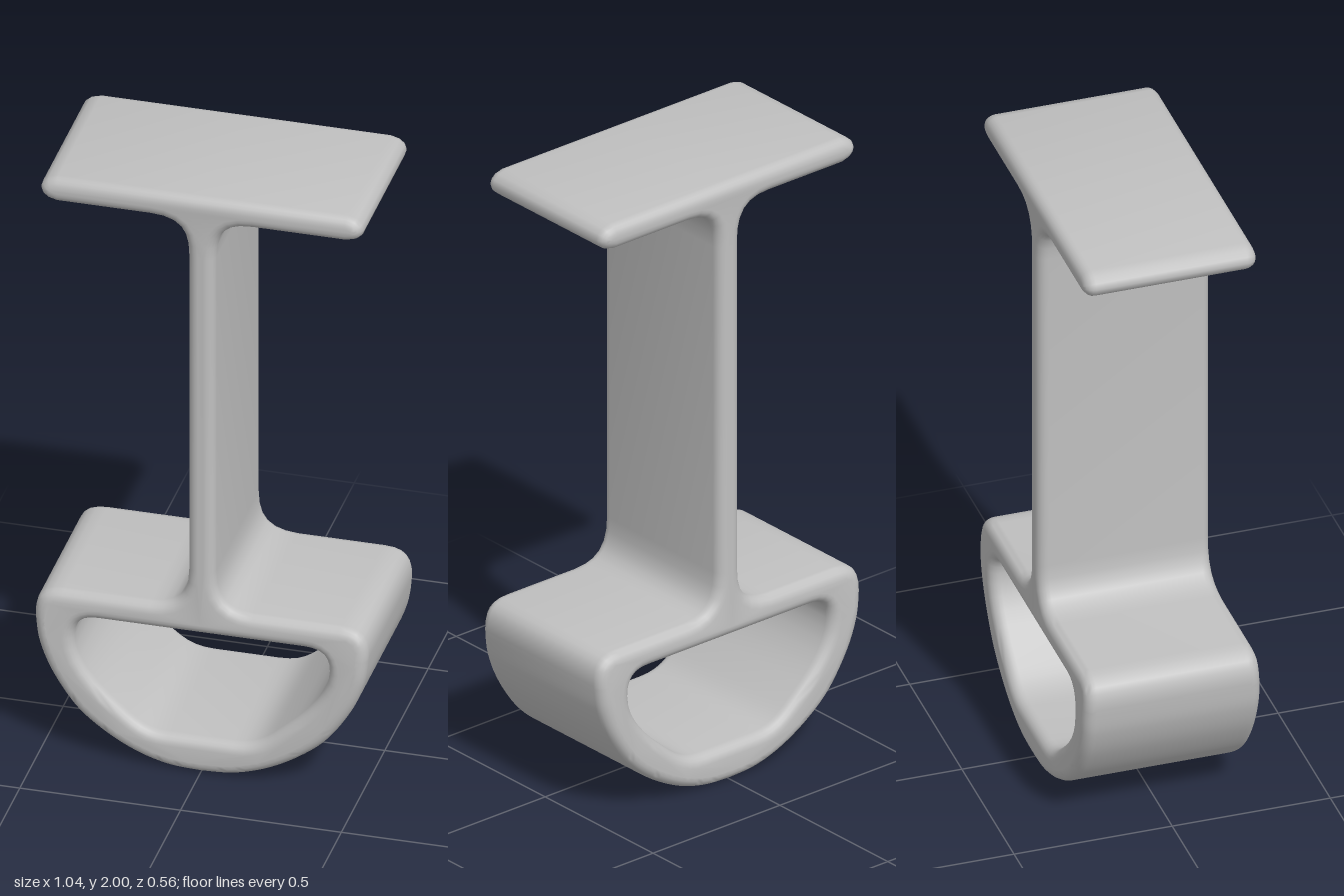
import * as THREE from 'three';
import { mergeVertices, toCreasedNormals } from 'three/addons/utils/BufferGeometryUtils.js';

const v = (x, y) => new THREE.Vector2(x, y);

// Closes a right-hand half outline (bottom centre to top centre) by mirroring it
function mirrored(path) {
  const half = path.getPoints(6);
  const left = half.slice(1, -1).reverse().map((p) => v(-p.x, p.y));
  return [...half, ...left];
}

export function createModel() {
  const group = new THREE.Group();
  const grey = new THREE.MeshStandardMaterial({ color: 0xc0c0c0 });
  grey.name = 'grey';

  // Outer outline: rounded bowl, flat shelf, stem and top plate
  const outer = new THREE.Path();
  outer.moveTo(0, 0.003);
  outer.splineThru([v(0.1, 0.01), v(0.2, 0.04), v(0.3, 0.095), v(0.39, 0.17),
    v(0.465, 0.28), v(0.505, 0.38), v(0.518, 0.47)]);
  outer.bezierCurveTo(0.52, 0.535, 0.5, 0.567, 0.43, 0.567);
  outer.lineTo(0.16, 0.567);
  outer.bezierCurveTo(0.08, 0.57, 0.042, 0.6, 0.042, 0.7);
  outer.lineTo(0.042, 1.79);
  outer.bezierCurveTo(0.042, 1.88, 0.07, 1.918, 0.16, 1.918);
  outer.lineTo(0.45, 1.918);
  outer.bezierCurveTo(0.52, 1.925, 0.52, 1.993, 0.45, 2);
  outer.lineTo(0, 2);

  // D-shaped opening
  const inner = new THREE.Path();
  inner.moveTo(0, 0.12);
  inner.lineTo(0.1, 0.12);
  inner.bezierCurveTo(0.17, 0.12, 0.2, 0.145, 0.25, 0.19);
  inner.bezierCurveTo(0.34, 0.265, 0.397, 0.34, 0.397, 0.41);
  inner.bezierCurveTo(0.397, 0.46, 0.375, 0.483, 0.32, 0.483);
  inner.lineTo(0, 0.483);

  const shape = new THREE.Shape(mirrored(outer));
  shape.holes.push(new THREE.Path(mirrored(inner).reverse()));

  // Extrude with softly rounded rims
  const bevel = 0.034;
  const depth = 2 * (0.273 - bevel);
  let geometry = new THREE.ExtrudeGeometry(shape, {
    depth, bevelEnabled: true, bevelThickness: bevel, bevelSize: bevel,
    bevelOffset: -bevel, bevelSegments: 5, curveSegments: 6,
  });
  geometry.translate(0, 0, -depth / 2);

  // The bowl is slightly deeper than the stem
  const pos = geometry.attributes.position;
  for (let i = 0; i < pos.count; i++) {
    const grow = 1 - THREE.MathUtils.smoothstep(pos.getY(i), 0.4, 0.6);
    pos.setZ(i, pos.getZ(i) * (1 + 0.03 * grow));
  }
  geometry.deleteAttribute('uv');
  geometry.deleteAttribute('normal');
  geometry = toCreasedNormals(mergeVertices(geometry), 0.8);

  const body = new THREE.Mesh(geometry, grey);
  body.name = 'hangerBody';
  group.add(body);
  return group;
}
